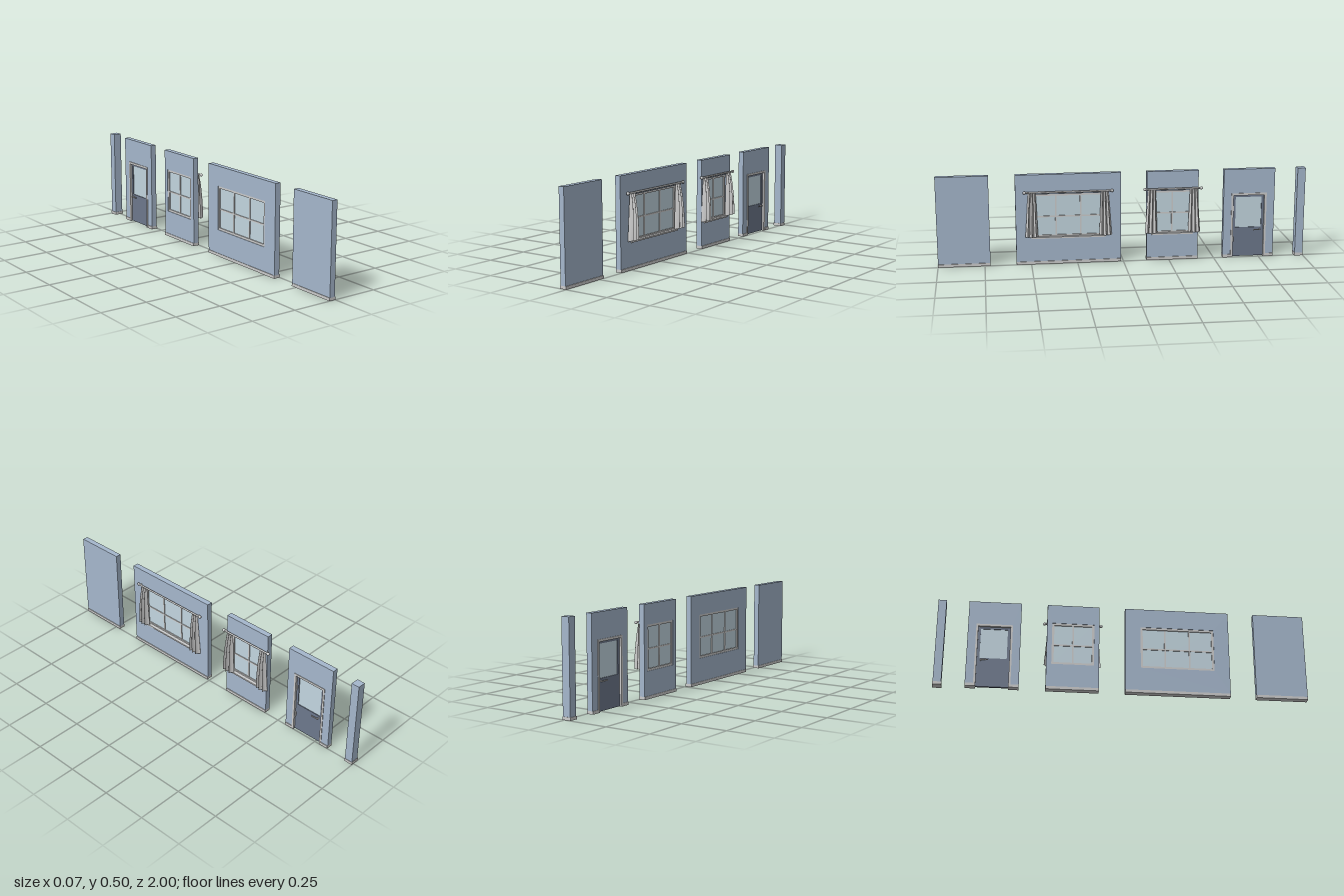
import * as THREE from 'three';

const mat = (color, side = THREE.FrontSide) => new THREE.MeshStandardMaterial({ color, side });
const grey = mat(0xcccccc);
const cloth = mat(0xcccccc, THREE.DoubleSide);
const wallMat = mat(0xa5b7cc);
const glassMat = mat(0xc3d6e0);
const doorMat = mat(0x6d788c);

const H = 0.495, BACK = -0.034, FRONT = -0.003, BASE = 0.016;

function add(group, name, geo, material) {
  const m = new THREE.Mesh(geo, material);
  m.name = name;
  group.add(m);
  return m;
}

// Box given by its limits on each axis
function box(group, name, x0, x1, y0, y1, z0, z1, material = grey) {
  const m = add(group, name, new THREE.BoxGeometry(x1 - x0, y1 - y0, z1 - z0), material);
  m.position.set((x0 + x1) / 2, (y0 + y1) / 2, (z0 + z1) / 2);
  return m;
}

const baseboard = (g, z0, z1) => box(g, 'baseboard', -0.0365, 0.001, 0, BASE, z0, z1);

const rect = (Type, a0, a1, b0, b1) => {
  const s = new Type();
  s.moveTo(a0, b0); s.lineTo(a1, b0); s.lineTo(a1, b1); s.lineTo(a0, b1); s.closePath();
  return s;
};

// Extrude a profile drawn in (-z, y) along x
function slab(group, name, shape, x0, x1, material) {
  const geo = new THREE.ExtrudeGeometry(shape, { depth: x1 - x0, bevelEnabled: false });
  geo.rotateY(Math.PI / 2);
  geo.translate(x0, 0, 0);
  return add(group, name, geo, material);
}

// Pleated curtain: a wavy sheet, gathered at the rod and flared below
function curtain(group, zc, out) {
  const geo = new THREE.PlaneGeometry(1, 1, 48, 16);
  const outer = new THREE.SplineCurve([[0.013, 0], [0.023, 0.12], [0.029, 0.28], [0.033, 0.5], [0.035, 0.75], [0.035, 1]]
    .map(([x, t]) => new THREE.Vector2(x, t)));
  const p = geo.attributes.position;
  for (let i = 0; i < p.count; i++) {
    const u = p.getX(i) + 0.5, v = 0.5 - p.getY(i);
    const front = outer.getPoint(v).x, back = 0.004 - 0.003 * v;
    const wave = 0.5 - 0.5 * Math.cos(u * Math.PI * 6 + 0.6 * v);
    const big = 0.72 + 0.28 * Math.sin(Math.PI * u);
    const width = 0.042 + 0.026 * v;
    const x = back + (front - back) * wave * big;
    const y = 0.397 - v * (0.245 - 0.007 * wave);
    const z = zc + out * 0.004 * v + (0.5 - u) * width + 0.003 * v * Math.sin(u * Math.PI * 12);
    p.setXYZ(i, x, y, z);
  }
  geo.computeVertexNormals();
  add(group, 'curtain', geo, cloth);
}

// Wall panel with framed window, rod and curtains
function windowWall(z0, z1, half, columns, rodHalf) {
  const g = new THREE.Group();
  g.name = 'windowWall';
  const c = (z0 + z1) / 2, b = 0.146, t = 0.387, f = 0.012;
  const shape = rect(THREE.Shape, -z1, -z0, BASE, H);
  shape.holes.push(rect(THREE.Path, -c - half, -c + half, b, t));
  slab(g, 'wall', shape, BACK, FRONT, wallMat);
  baseboard(g, z0, z1);

  const frame = rect(THREE.Shape, -c - half, -c + half, b, t);
  frame.holes.push(rect(THREE.Path, -c - half + f, -c + half - f, b + f, t - f));
  slab(g, 'windowFrame', frame, -0.031, -0.016, grey);
  box(g, 'windowGlass', -0.025, -0.022, b + f, t - f, c - half + f, c + half - f, glassMat);
  for (let i = 1; i < columns; i++) {
    const z = c - half + (2 * half * i) / columns;
    box(g, 'mullion', -0.029, -0.018, b + f, t - f, z - 0.004, z + 0.004);
  }
  box(g, 'crossbar', -0.029, -0.018, 0.256, 0.264, c - half + f, c + half - f);
  box(g, 'windowSill', -0.016, 0.002, b - 0.004, b + 0.004, c - half, c + half);

  // Rod with ball ends and wall brackets
  const rod = add(g, 'curtainRod', new THREE.CylinderGeometry(0.005, 0.005, rodHalf * 2, 12), grey);
  rod.rotation.x = Math.PI / 2;
  rod.position.set(0.008, 0.4, c);
  for (const s of [-1, 1]) {
    const ball = add(g, 'rodEnd', new THREE.SphereGeometry(0.0085, 14, 10), grey);
    ball.position.set(0.008, 0.4, c + s * rodHalf);
    const zb = c + s * (rodHalf - 0.012);
    box(g, 'rodBracket', FRONT, 0.008, 0.396, 0.403, zb - 0.003, zb + 0.003);
    curtain(g, c + s * (rodHalf - 0.04), s);
  }
  return g;
}

// Wall panel with a half-glazed door
function doorWall(z0, z1) {
  const g = new THREE.Group();
  g.name = 'doorWall';
  const c = (z0 + z1) / 2, o = 0.0975, i = 0.086, top = 0.361, head = 0.349;
  // Arch outline around an opening that reaches the floor
  const arch = (hw, h, iw, ih, y0) => {
    const s = new THREE.Shape();
    [[-hw, y0], [-iw, y0], [-iw, ih], [iw, ih], [iw, y0], [hw, y0], [hw, h], [-hw, h]]
      .forEach(([a, y], k) => (k ? s.lineTo(a - c, y) : s.moveTo(a - c, y)));
    s.closePath();
    return s;
  };
  slab(g, 'wall', arch((z1 - z0) / 2, H, o - 0.003, top - 0.003, BASE), BACK, FRONT, wallMat);
  slab(g, 'doorFrame', arch(o, top, i, head, 0), -0.037, 0, grey);
  baseboard(g, z0, c - o);
  baseboard(g, c + o, z1);

  const leaf = rect(THREE.Shape, -c - i, -c + i, 0.002, head);
  leaf.holes.push(rect(THREE.Path, -c - 0.072, -c + 0.072, 0.166, 0.337));
  slab(g, 'doorLeaf', leaf, -0.025, -0.012, doorMat);
  box(g, 'doorGlass', -0.021, -0.016, 0.166, 0.337, c - 0.072, c + 0.072, glassMat);

  // Lever handles on both faces
  for (const s of [-1, 1]) {
    const x = -0.0185 + s * 0.0065, zh = c - 0.064;
    const stem = add(g, 'handleStem', new THREE.CylinderGeometry(0.004, 0.004, 0.012, 10), grey);
    stem.rotation.z = Math.PI / 2;
    stem.position.set(x + s * 0.006, 0.153, zh);
    box(g, 'handleLever', x + s * 0.012 - 0.002, x + s * 0.012 + 0.002, 0.15, 0.156, zh - 0.004, zh + 0.038);
  }
  for (const y of [0.1, 0.275]) {
    const hinge = add(g, 'hinge', new THREE.CylinderGeometry(0.004, 0.004, 0.026, 10), grey);
    hinge.position.set(-0.011, y, c + i - 0.002);
  }
  return g;
}

export function createModel() {
  const model = new THREE.Group();
  model.name = 'wallSet';

  // Plain wall panel
  const plain = new THREE.Group();
  plain.name = 'plainWall';
  box(plain, 'wall', BACK, FRONT, BASE, H, 0.72, 1, wallMat);
  baseboard(plain, 0.72, 1);
  model.add(plain);

  model.add(windowWall(0.013, 0.58, 0.2, 3, 0.235));
  model.add(windowWall(-0.41, -0.128, 0.114, 2, 0.154));
  model.add(doorWall(-0.832, -0.55));

  // Corner post
  const post = new THREE.Group();
  post.name = 'cornerPost';
  box(post, 'post', BACK, 0.011, BASE, H, -0.998, -0.954, wallMat);
  box(post, 'postBase', -0.0365, 0.013, 0, BASE, -1, -0.952);
  model.add(post);
  return model;
}
